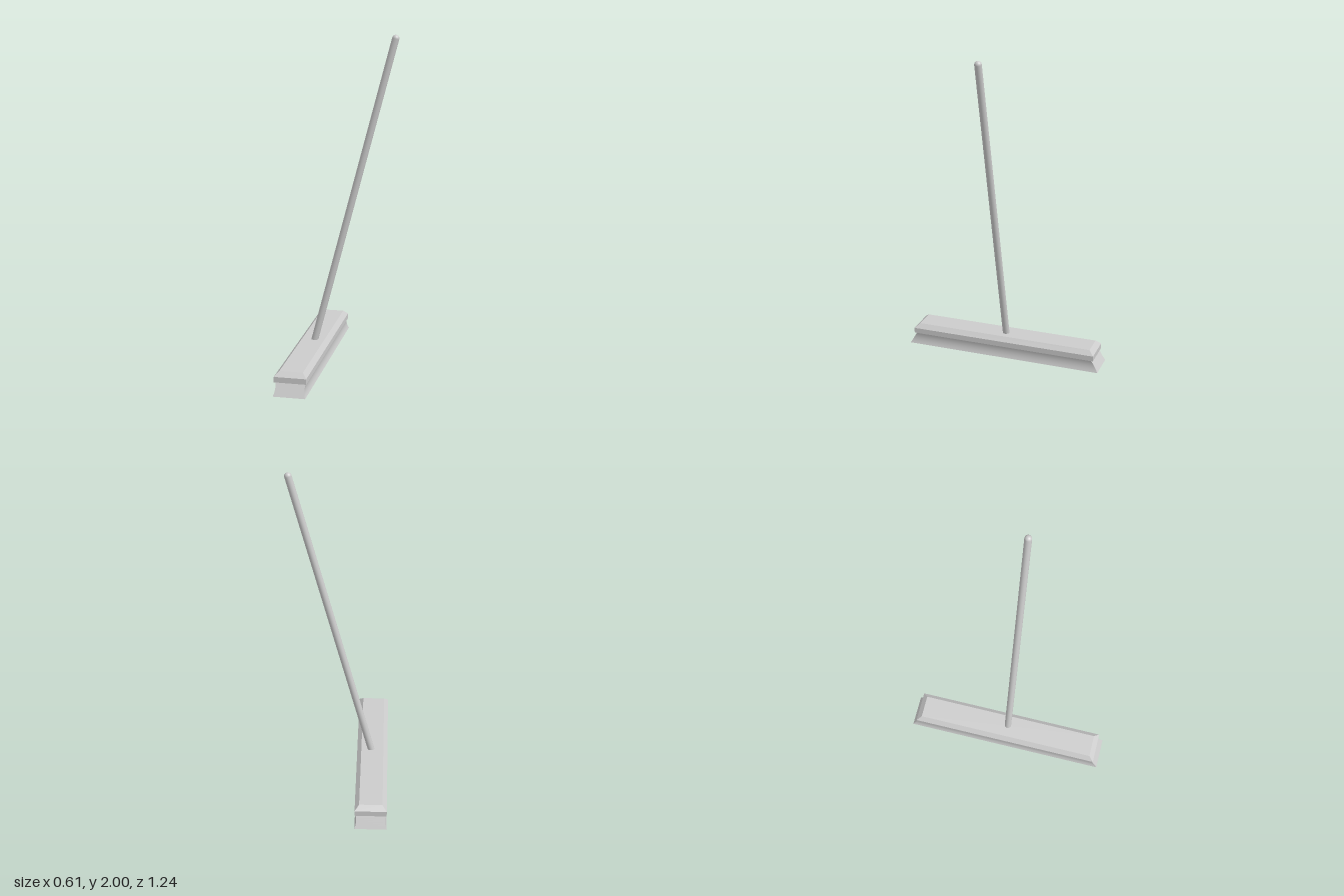
import * as THREE from 'three';

const HEAD_X = -0.21;

// Closed block lofted through rectangles [y, halfX, halfZ], bottom to top.
// Each side has its own vertices, so corners stay sharp; smooth rounds it vertically.
function rectLoft(sections, smooth) {
  const pos = [], idx = [];
  const corner = ([y, hx, hz], i) => [[hx, y, hz], [hx, y, -hz], [-hx, y, -hz], [-hx, y, hz]][i % 4];
  const quad = (a, b, c, d) => idx.push(a, b, c, a, c, d);
  for (let s = 0; s < 4; s++) {
    const base = pos.length / 3;
    sections.forEach((sec) => pos.push(...corner(sec, s), ...corner(sec, s + 1)));
    for (let r = 0; r < sections.length - 1; r++) {
      const k = base + r * 2;
      quad(k, k + 1, k + 3, k + 2);
    }
  }
  const caps = [[sections[0], [3, 2, 1, 0]], [sections[sections.length - 1], [0, 1, 2, 3]]];
  for (const [sec, order] of caps) {
    const k = pos.length / 3;
    order.forEach((i) => pos.push(...corner(sec, i)));
    quad(k, k + 1, k + 2, k + 3);
  }
  let geo = new THREE.BufferGeometry();
  geo.setAttribute('position', new THREE.Float32BufferAttribute(pos, 3));
  geo.setIndex(idx);
  if (!smooth) geo = geo.toNonIndexed();
  geo.computeVertexNormals();
  return geo;
}

export function createModel() {
  const group = new THREE.Group();
  const grey = new THREE.MeshStandardMaterial({ color: 0xcccccc });
  const add = (name, geo) => {
    const mesh = new THREE.Mesh(geo, grey);
    mesh.name = name;
    group.add(mesh);
    return mesh;
  };

  // Wooden head with a bevelled top
  const head = add('head', rectLoft([[0.075, 0.095, 0.592], [0.108, 0.095, 0.592], [0.135, 0.069, 0.562]], false));
  head.position.x = HEAD_X;

  // Bristle block: slightly waisted sides, ends splayed towards the floor
  const rings = [];
  for (let i = 0; i <= 8; i++) {
    const t = i / 8;
    rings.push([0.077 * t, 0.095 - 0.03 * t * (1 - t) - 0.004 * t, 0.622 - 0.045 * t]);
  }
  const bristles = add('bristles', rectLoft(rings, true));
  bristles.position.x = HEAD_X;

  // Leaning round handle with a domed tip
  const foot = new THREE.Vector3(-0.21, 0.1, 0);
  const tip = new THREE.Vector3(0.283, 1.979, 0);
  const axis = tip.clone().sub(foot);
  const r = 0.021, len = axis.length();
  const profile = [new THREE.Vector2(0, 0), new THREE.Vector2(r, 0)];
  for (let i = 0; i <= 8; i++) {
    const a = (i / 8) * Math.PI / 2;
    profile.push(new THREE.Vector2(i === 8 ? 0 : r * Math.cos(a), len + r * Math.sin(a)));
  }
  const handle = add('handle', new THREE.LatheGeometry(profile, 32));
  handle.position.copy(foot);
  handle.quaternion.setFromUnitVectors(new THREE.Vector3(0, 1, 0), axis.normalize());

  return group;
}
